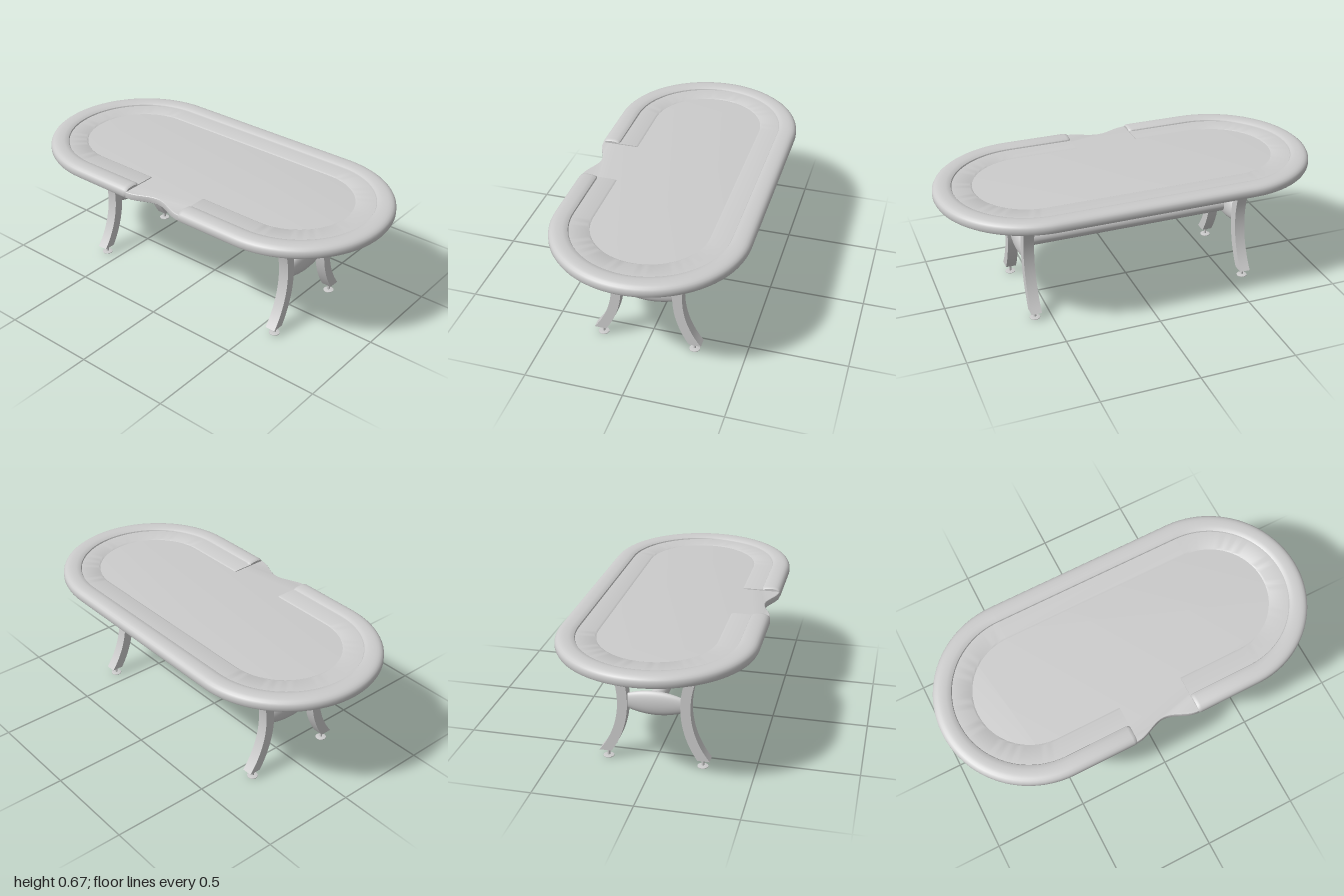
import * as THREE from 'three';
import { toCreasedNormals } from 'three/addons/utils/BufferGeometryUtils.js';

const HALF = 0.51;   // half length of the straight sides
const GAP = 0.17;    // half width of the dealer cut-out
const LEG_X = 0.585;

export function createModel() {
  const group = new THREE.Group();
  const material = new THREE.MeshStandardMaterial({ color: 0xcccccc });

  const add = (name, geometry, parent = group) => {
    const mesh = new THREE.Mesh(geometry, material);
    mesh.name = name;
    parent.add(mesh);
    return mesh;
  };

  // Stadium path, open at the front gap: [centre x, angle, profile scale]
  const stadiumPath = (endScale) => {
    const path = [[GAP, Math.PI / 2, endScale], [GAP + 0.006, Math.PI / 2, (1 + endScale) / 2 + 0.04 * (1 - endScale) * 5],
      [GAP + 0.018, Math.PI / 2, 1]];
    const n = 40;
    for (let i = 0; i <= n; i++) path.push([HALF, Math.PI / 2 - Math.PI * i / n, 1]);
    for (let i = 0; i <= n; i++) path.push([-HALF, -Math.PI / 2 - Math.PI * i / n, 1]);
    for (let i = 2; i >= 0; i--) path.push([-path[i][0], -1.5 * Math.PI, path[i][2]]);
    return path;
  };

  // Sweeps a closed [radius, y] profile along the stadium and caps both ends
  const sweep = (profile, endScale) => {
    const path = stadiumPath(endScale);
    const m = profile.length;
    const mid = [0, 1].map(k => profile.reduce((s, p) => s + p[k], 0) / m);
    mid[1] = profile[m - 1][1];
    const pos = [], index = [];
    const put = ([cx, a], r, y) => pos.push(cx + r * Math.cos(a), y, r * Math.sin(a));
    for (const p of path) {
      for (const [r, y] of profile) put(p, mid[0] + (r - mid[0]) * p[2], mid[1] + (y - mid[1]) * p[2]);
    }
    const last = path.length - 1;
    const capY = mid[1] + 0.004;
    put(path[0], mid[0], capY);
    put(path[last], mid[0], capY);
    const c0 = path.length * m;
    for (let j = 0; j < m; j++) {
      const k = (j + 1) % m;
      for (let i = 0; i < last; i++) {
        const a = i * m + j, b = a + m, c = i * m + k, d = c + m;
        index.push(a, c, b, b, c, d);
      }
      index.push(c0, k, j, c0 + 1, last * m + j, last * m + k);
    }
    const g = new THREE.BufferGeometry();
    g.setAttribute('position', new THREE.Float32BufferAttribute(pos, 3));
    g.setIndex(index);
    return toCreasedNormals(g, 0.6);
  };

  // Table bed: stadium slab with a curved bite at the front
  const r = 0.48;
  const outline = new THREE.Shape();
  const dip = x => -r + 0.025 * (1 + Math.cos(Math.PI * x / GAP));
  outline.moveTo(-HALF, -r);
  for (let i = 0; i <= 32; i++) {
    const x = -GAP + 2 * GAP * i / 32;
    outline.lineTo(x, dip(x));
  }
  outline.lineTo(HALF, -r);
  outline.absarc(HALF, 0, r, -Math.PI / 2, Math.PI / 2, false);
  outline.lineTo(-HALF, r);
  outline.absarc(-HALF, 0, r, Math.PI / 2, Math.PI * 1.5, false);
  const bed = new THREE.ExtrudeGeometry(outline, {
    depth: 0.024, bevelThickness: 0.006, bevelSize: 0.006, bevelSegments: 3, curveSegments: 40,
  });
  bed.rotateX(-Math.PI / 2).translate(0, 0.6155, 0);
  add('tableBed', toCreasedNormals(bed, 0.5));

  // Raised border round the playing surface
  add('racetrack', sweep([[0.29, 0.644], [0.295, 0.647], [0.302, 0.65], [0.40, 0.65], [0.40, 0.644]], 1));

  // Padded arm rail
  add('armRail', sweep([[0.392, 0.61], [0.392, 0.648], [0.396, 0.656], [0.405, 0.661], [0.42, 0.664],
    [0.435, 0.665], [0.45, 0.665], [0.464, 0.663], [0.475, 0.659], [0.484, 0.652], [0.489, 0.643],
    [0.49, 0.633], [0.49, 0.62], [0.485, 0.61]], 0.88));

  // Curved leg side profile in (z, y), between two concentric arcs
  const legShape = new THREE.Shape();
  const cz = 0.632, cy = 0.322, top = 0.613, bottom = 0.043;
  const arcPoint = (R, y) => [cz - Math.sqrt(R * R - (y - cy) ** 2), y];
  const steps = 24;
  for (let i = 0; i <= steps; i++) {
    const p = arcPoint(0.45, bottom + (top - bottom) * i / steps);
    if (i) legShape.lineTo(...p); else legShape.moveTo(...p);
  }
  for (let i = steps; i >= 0; i--) legShape.lineTo(...arcPoint(0.5, bottom + (top - bottom) * i / steps));
  const legGeo = new THREE.ExtrudeGeometry(legShape, { depth: 0.055, bevelEnabled: false });
  legGeo.translate(0, 0, -0.0275).rotateY(-Math.PI / 2);
  const leg = toCreasedNormals(legGeo, 0.6);

  // Levelling foot: disc, shallow cone and stem
  const foot = toCreasedNormals(new THREE.LatheGeometry(
    [[0, 0], [0.027, 0], [0.027, 0.003], [0.008, 0.007], [0.007, 0.007], [0.007, 0.046]]
      .map(p => new THREE.Vector2(...p)), 24), 0.6);

  // Flattened barrel joining the two legs of each end
  const barrelPoints = [];
  for (let i = 0; i <= 20; i++) {
    const z = -0.145 + 0.29 * i / 20;
    barrelPoints.push(new THREE.Vector2(0.0635 - 1.3 * z * z, z));
  }
  const barrel = new THREE.LatheGeometry(barrelPoints, 40);
  barrel.rotateX(Math.PI / 2).scale(0.42, 1, 1);

  for (const side of [1, -1]) {
    const frame = new THREE.Group();
    frame.name = side > 0 ? 'leftLegFrame' : 'rightLegFrame';
    frame.position.x = side * LEG_X;
    group.add(frame);
    add('crossBarrel', barrel, frame).position.y = 0.322;
    for (const front of [true, false]) {
      const half = new THREE.Group();
      half.name = front ? 'frontLeg' : 'backLeg';
      half.rotation.y = front ? 0 : Math.PI;
      frame.add(half);
      add('leg', leg, half);
      add('foot', foot, half).position.z = 0.24;
    }
  }

  // Long round stretcher between the leg frames
  const stretcher = new THREE.CylinderGeometry(0.04, 0.04, 2 * LEG_X - 0.03, 32);
  stretcher.rotateZ(Math.PI / 2);
  add('stretcher', stretcher).position.y = 0.326;

  return group;
}
